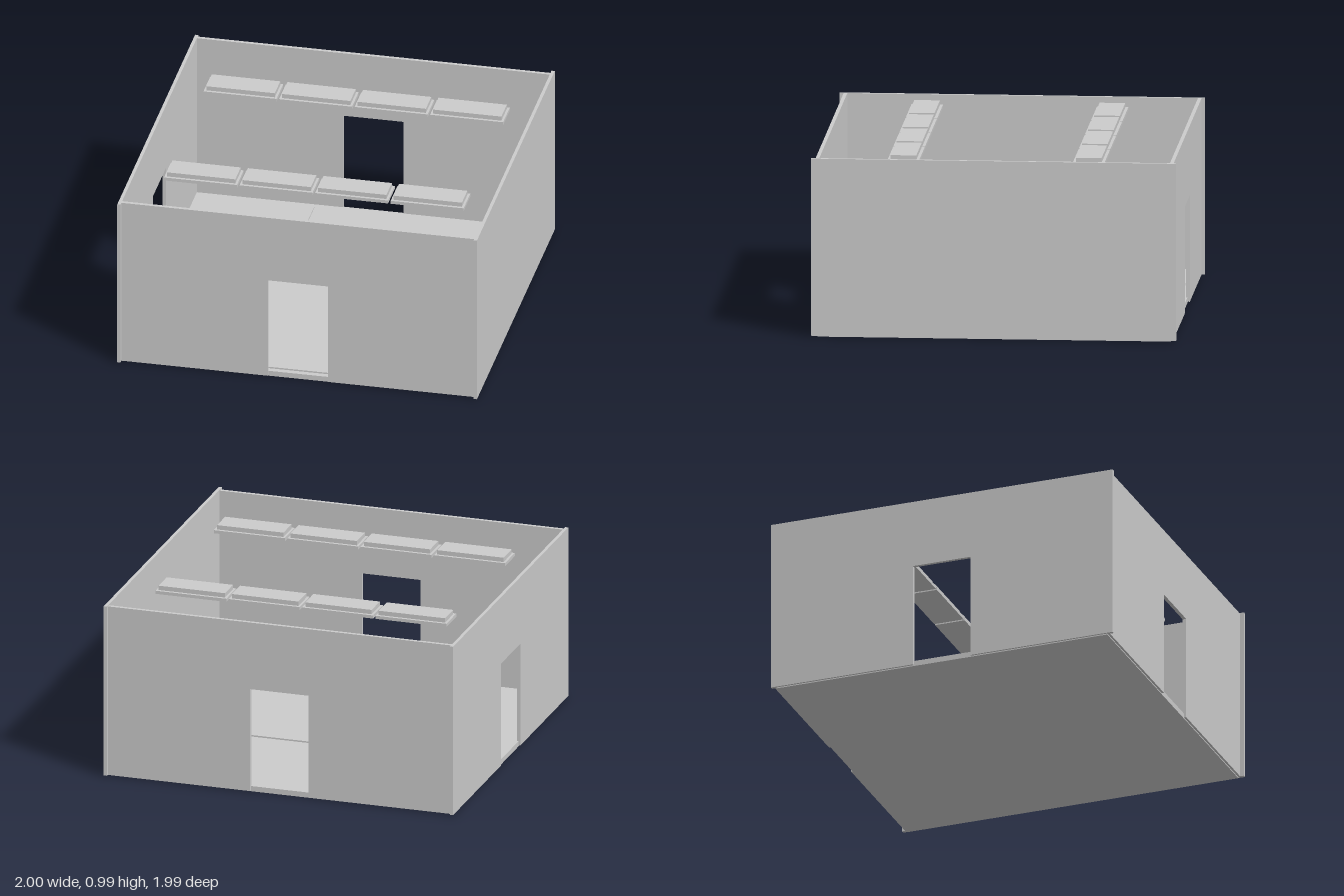
import * as THREE from 'three';

const material = new THREE.MeshStandardMaterial({ color: 0xcccccc, flatShading: true });
const BASE = 0.006, TOP = 0.98, DOOR_HALF = 0.167, DOOR_TOP = 0.595;

export function createModel() {
  const model = new THREE.Group();
  model.name = 'openRoom';

  const add = (geometry, name, parent = model) => {
    const mesh = new THREE.Mesh(geometry, material);
    mesh.name = name;
    parent.add(mesh);
    return mesh;
  };

  // Box given by its limits on each axis
  const box = (name, [x0, x1], [y0, y1], [z0, z1], parent) =>
    add(new THREE.BoxGeometry(x1 - x0, y1 - y0, z1 - z0), name, parent)
      .position.set((x0 + x1) / 2, (y0 + y1) / 2, (z0 + z1) / 2);

  // Upright wall with a doorway notched out of its lower edge
  const doorWall = (name, halfWidth, thickness) => {
    const shape = new THREE.Shape([
      [-halfWidth, BASE], [-DOOR_HALF, BASE], [-DOOR_HALF, DOOR_TOP], [DOOR_HALF, DOOR_TOP],
      [DOOR_HALF, BASE], [halfWidth, BASE], [halfWidth, TOP], [-halfWidth, TOP],
    ].map(([x, y]) => new THREE.Vector2(x, y)));
    const geometry = new THREE.ExtrudeGeometry(shape, { depth: thickness, bevelEnabled: false });
    geometry.translate(0, 0, -thickness / 2);
    return add(geometry, name);
  };

  // Walls: three with doorways, one solid
  doorWall('frontWall', 0.982, 0.02).position.z = 0.963;
  doorWall('backWall', 0.982, 0.02).position.z = -0.968;
  const rightWall = doorWall('rightWall', 0.995, 0.018);
  rightWall.rotation.y = -Math.PI / 2;
  rightWall.position.x = -0.991;
  box('leftWall', [0.982, 1], [BASE, 0.985], [-0.995, 0.995]);

  // Floor slab with two overlapping, slightly raised floor coverings
  box('floor', [-0.99, 0.99], [0, 0.03], [-0.965, 0.96]);
  box('cornerFloorPanel', [-0.96, -0.32], [0.03, 0.038], [-0.925, -0.125]);
  box('mainFloorPanel', [-0.48, 0.96], [0.03, 0.0385], [-0.22, 0.93]);

  // Two rows of four ceiling lights, each a tray with a smaller housing on top
  for (const z of [-0.505, 0.505]) {
    for (let i = 0; i < 4; i++) {
      const light = new THREE.Group();
      light.name = 'ceilingLight';
      light.position.set(-0.625 + i * 0.42, 0, z);
      box('lightTray', [-0.203, 0.203], [0.935, 0.953], [-0.086, 0.086], light);
      box('lightHousing', [-0.19, 0.19], [0.953, 0.978], [-0.07, 0.07], light);
      model.add(light);
    }
  }

  return model;
}
